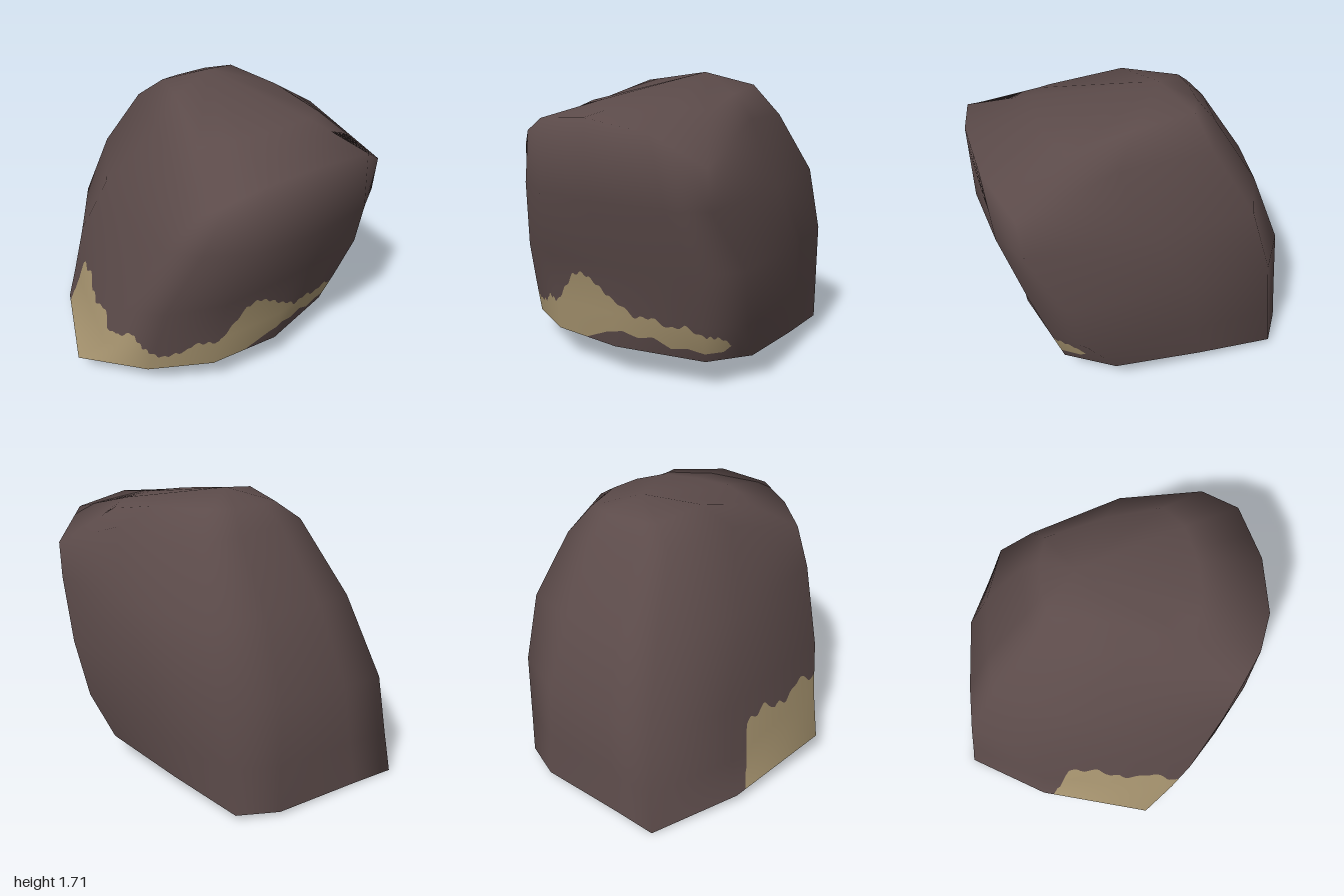
import * as THREE from 'three';

const COLS = 12, SUB = 50;
const lerp = THREE.MathUtils.lerp, clamp = THREE.MathUtils.clamp;

// Outlines (x, z) from the left tip, round the front, right and back
const rim = [[-1, .25], [-.55, .61], [.12, .91], [.5, .64], [.71, .3], [.76, -.15],
  [.63, -.67], [.35, -.82], [-.2, -.81], [-.68, -.785], [-.82, -.57], [-.935, -.03]];
const waist = [[-.91, .21], [-.48, .5], [.42, .77], [.63, .6], [.79, .28], [.83, -.15],
  [.82, -.72], [.61, -.895], [-.1, -.88], [-.59, -.82], [-.78, -.53], [-.87, -.08]];
const chest = [[-.69, .15], [-.2, .45], [.61, .62], [.79, .46], [.94, .22], [.99, -.15],
  [.945, -.61], [.83, -.8], [.15, -.85], [-.47, -.79], [-.62, -.47], [-.68, -.1]];
// Upper crease (x, y, z)
const crease = [[-.38, 1.52, .08], [.1, 1.52, .27], [.73, 1.32, .5], [.86, 1.42, .36],
  [.95, 1.51, .18], [1, 1.54, -.15], [.98, 1.49, -.53], [.85, 1.32, -.79],
  [.3, 1.5, -.75], [-.26, 1.46, -.66], [-.37, 1.5, -.42], [-.4, 1.52, -.12]];

function buildRings() {
  const v = (x, y, z) => new THREE.Vector3(x, y, z);
  const apex = v(-.08, 1.71, -.24);
  const r0 = rim.map(([x, z]) => v(x, .114 * (x + 1), z));
  const r2 = waist.map(([x, z]) => v(x, .67 + .04 * x - .06 * z, z));
  // The front ridge and the back wall bend between rim and waist
  const r1 = r0.map((p, i) => {
    const q = p.clone().lerp(r2[i], [2, 7, 8].includes(i) ? .65 : .44);
    q.y = lerp(p.y, r2[i].y, .42);
    return q;
  });
  const r3 = chest.map(([x, z]) => v(x, 1.1, z));
  const r4 = crease.map(p => v(...p));
  const r5 = r4.map(p => {
    const q = p.clone().lerp(apex, .35), dx = q.x + .1;
    q.y = 1.69 - (dx < 0 ? -.35 : .14) * dx - 2 * (q.z + .2) ** 4;
    return q;
  });
  return [r0, r1, r2, r3, r4, r5, r4.map(() => apex)];
}

// Smooth normals of the coarse shell
function ringNormals(rings) {
  const index = [];
  for (let r = 0; r < rings.length - 1; r++) for (let c = 0; c < COLS; c++) {
    const a = r * COLS + c, b = r * COLS + (c + 1) % COLS;
    index.push(a, b, b + COLS, a, b + COLS, a + COLS);
  }
  const g = new THREE.BufferGeometry().setFromPoints(rings.flat());
  g.setIndex(index);
  g.computeVertexNormals();
  return rings.map((ring, r) => ring.map((_, c) => r === rings.length - 1
    ? new THREE.Vector3(-.05, 1, 0).normalize()
    : new THREE.Vector3().fromBufferAttribute(g.attributes.normal, r * COLS + c)));
}

// Bilinear lookup in a grid of rings
function sample(grid, u, v) {
  const r = Math.min(Math.floor(v), grid.length - 2), c = Math.floor(u) % COLS;
  const d = (c + 1) % COLS, f = u - Math.floor(u);
  const low = grid[r][c].clone().lerp(grid[r][d], f);
  return low.lerp(grid[r + 1][c].clone().lerp(grid[r + 1][d], f), v - r);
}

// Heights of the sandy patch: (position round the rock, y)
const sandTop = [[1.11, .06], [1.12, .17], [1.14, .2], [1.145, .31], [1.16, .35], [1.17, .43],
  [1.23, .48], [1.3, .46], [1.39, .5], [1.5, .42], [1.56, .44], [1.63, .41], [1.81, .5],
  [1.93, .44], [2.1, .46], [2.2, .43], [2.43, .47], [2.75, .36], [3.17, .28], [3.5, .32],
  [3.62, .38], [4, .38], [4.37, .6], [4.55, .62], [4.75, .58], [5.1, .48], [5.27, .41],
  [5.45, .43], [5.64, .38], [5.82, .41], [6, .36], [6.4, .33], [6.6, .27]];
const sandBottom = [[4.45, 0], [4.5, .2], [4.87, .28], [5.1, .31], [5.27, .28], [5.45, .3],
  [5.64, .24], [5.82, .26], [6, .24], [6.4, .23], [6.6, .27]];

function curveAt(points, u) {
  if (u <= points[0][0] || u >= points[points.length - 1][0]) return 0;
  const i = points.findIndex(p => p[0] >= u), [a, b] = [points[i - 1], points[i]];
  return lerp(a[1], b[1], (u - a[0]) / (b[0] - a[0]));
}

export function createModel() {
  const rings = buildRings(), normals = ringNormals(rings), last = rings.length - 1;

  // Turn a height on the lower wall into a ring position
  const ringAt = (u, y) => {
    const [a, b, c] = [0, 1, 2].map(k => sample(rings, u, k).y);
    return y < b ? clamp((y - a) / (b - a), 0, 1) : clamp(1 + (y - b) / (c - b), 1, 2);
  };
  const low = u => ringAt(u, curveAt(sandBottom, u));
  const high = u => {
    const y = curveAt(sandTop, u);
    return y ? Math.max(low(u), ringAt(u, y + .01 * Math.sin(u * 38))) : low(u);
  };

  // Strip of the shell between two ring positions
  function strip(name, from, to, material) {
    const pos = [], nor = [], index = [], rows = last + 1, vs = [];
    for (let i = 0; i <= COLS * SUB; i++) {
      const u = i / SUB, a = from(u), b = to(u);
      for (let k = 0; k < rows; k++) {
        const v = clamp(k, a, b);
        vs.push(v);
        pos.push(...sample(rings, u, v).toArray());
        nor.push(...sample(normals, u, v).normalize().toArray());
      }
    }
    for (let i = 0; i < COLS * SUB; i++) for (let k = 0; k < last; k++) {
      const p = i * rows + k, q = p + rows;
      if (vs[q + 1] > vs[q]) index.push(p, q, q + 1);
      if (vs[p + 1] > vs[p]) index.push(p, q + 1, p + 1);
    }
    const g = new THREE.BufferGeometry();
    g.setAttribute('position', new THREE.Float32BufferAttribute(pos, 3));
    g.setAttribute('normal', new THREE.Float32BufferAttribute(nor, 3));
    g.setIndex(index);
    const mesh = new THREE.Mesh(g, material);
    mesh.name = name;
    return mesh;
  }

  const rock = new THREE.MeshStandardMaterial({ color: 0x5c4b4a, side: THREE.DoubleSide });
  rock.name = 'brown rock';
  const sand = new THREE.MeshStandardMaterial({ color: 0xa89570, side: THREE.DoubleSide });
  sand.name = 'pale sand';

  const group = new THREE.Group();
  group.name = 'boulder';
  group.add(
    strip('rockFoot', () => 0, low, rock),
    strip('sandPatch', low, high, sand),
    strip('rockBody', high, () => last, rock));
  return group;
}
